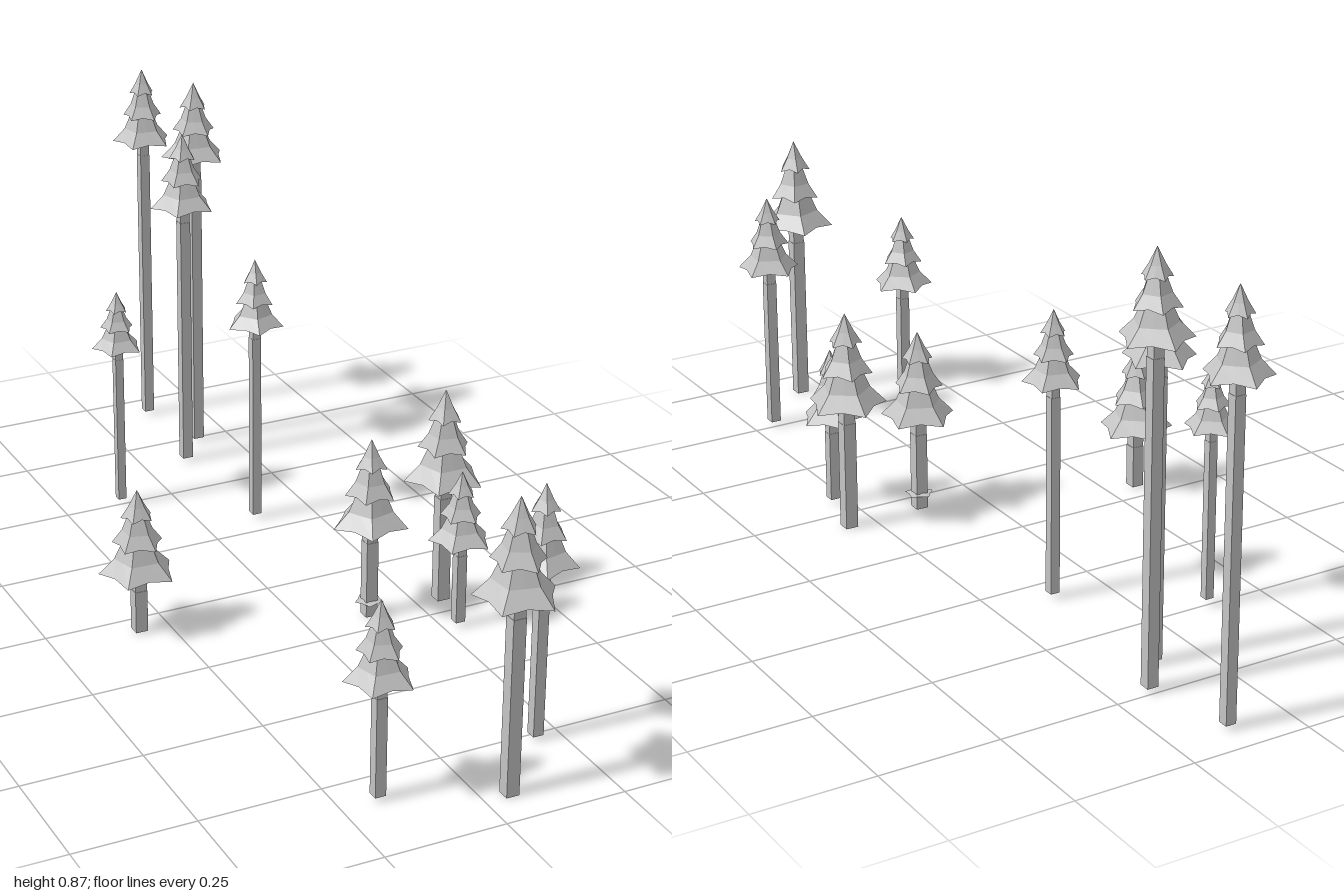
import * as THREE from 'three';

// x, z, tip height, crown bottom, crown radius, trunk foot, turn in degrees
const TREES = [
  [0.127, -0.925, 0.855, 0.685, 0.068, 0.01, -83],
  [0.17, -0.735, 0.873, 0.70, 0.073, 0.01, -85],
  [0.103, -0.648, 0.79, 0.62, 0.072, 0.01, -20],
  [-0.122, -0.5, 0.51, 0.38, 0.056, 0.017, -90],
  [0.12, -0.313, 0.61, 0.46, 0.062, 0.012, -38],
  [-0.315, 0.053, 0.32, 0.135, 0.081, 0.004, -88],
  [0.138, 0.195, 0.40, 0.21, 0.08, 0.003, -30],
  [0.308, 0.192, 0.475, 0.275, 0.084, 0, -90],
  [0.282, 0.313, 0.35, 0.195, 0.066, 0.012, -10],
  [0.198, 0.765, 0.54, 0.375, 0.069, 0.01, -30],
  [-0.172, 0.825, 0.415, 0.25, 0.069, 0.01, -15],
  [0.055, 0.913, 0.61, 0.41, 0.083, 0, -5],
];

// Each tier flares outward: [radius, drop from the tip], as fractions of the crown
const TIERS = [
  [[0, 0], [0.22, 0.19], [0.42, 0.33], [0, 0.30]],
  [[0.2, 0.26], [0.40, 0.49], [0.66, 0.65], [0, 0.60]],
  [[0.32, 0.55], [0.60, 0.82], [1, 1], [0, 0.95]],
];

// Five-pointed skirts joined ring by ring, with the notches pulled in and lifted
function crownGeometry(tiers, radius, height) {
  const pos = [];
  tiers.forEach((rings, t) => {
    const twist = t === 1 ? 0.25 : 0;
    const point = ([r, drop], k, rim) => {
      const a = k * Math.PI / 5 + twist;
      const notch = k % 2 === 1;
      const s = r * radius * (notch ? (rim ? 0.75 : 0.82) : 1);
      const y = height * (1 - drop + (notch && rim ? 0.03 : 0));
      return [Math.cos(a) * s, y, Math.sin(a) * s];
    };
    for (let i = 0; i < rings.length - 1; i++) {
      const up = rings[i], low = rings[i + 1];
      const upRim = i === rings.length - 2, lowRim = i === rings.length - 3;
      for (let k = 0; k < 10; k++) {
        const u0 = point(up, k, upRim), u1 = point(up, k + 1, upRim);
        const l0 = point(low, k, lowRim), l1 = point(low, k + 1, lowRim);
        if (up[0] > 0) pos.push(...u0, ...u1, ...l0);
        if (low[0] > 0) pos.push(...l0, ...u1, ...l1);
      }
    }
  });
  const g = new THREE.BufferGeometry();
  g.setAttribute('position', new THREE.Float32BufferAttribute(pos, 3));
  g.computeVertexNormals();
  return g;
}

export function createModel() {
  const grey = new THREE.MeshStandardMaterial({ color: 0xc4c4c4 });
  grey.name = 'pale grey';
  const model = new THREE.Group();
  model.name = 'pineGrove';

  const add = (parent, name, geometry, y) => {
    const mesh = new THREE.Mesh(geometry, grey);
    mesh.name = name;
    mesh.position.y = y;
    parent.add(mesh);
    return mesh;
  };

  TREES.forEach(([x, z, tip, bottom, r, foot, turn], i) => {
    const tree = new THREE.Group();
    tree.name = 'pineTree' + (i + 1);
    tree.position.set(x, 0, z);

    // Square trunk: long lower post and a slightly slimmer neck up into the crown
    const joint = bottom - 0.48 * r;
    const neckTop = bottom + 0.3 * (tip - bottom);
    const w = 0.325 * r;
    add(tree, 'trunk', new THREE.BoxGeometry(w, joint - foot, w), (joint + foot) / 2);
    add(tree, 'trunkNeck', new THREE.BoxGeometry(w * 0.94, neckTop - joint, w * 0.94), (neckTop + joint) / 2);

    // Three-tiered crown
    const crown = add(tree, 'crown', crownGeometry(TIERS, r, tip - bottom), bottom);
    crown.rotation.y = -turn * Math.PI / 180;

    // Small flat skirt low on one trunk
    if (i === 6) {
      const skirt = add(tree, 'lowSkirt', crownGeometry([TIERS[2]], 0.031, 0.011), 0.035);
      skirt.rotation.y = crown.rotation.y;
    }
    model.add(tree);
  });
  return model;
}
